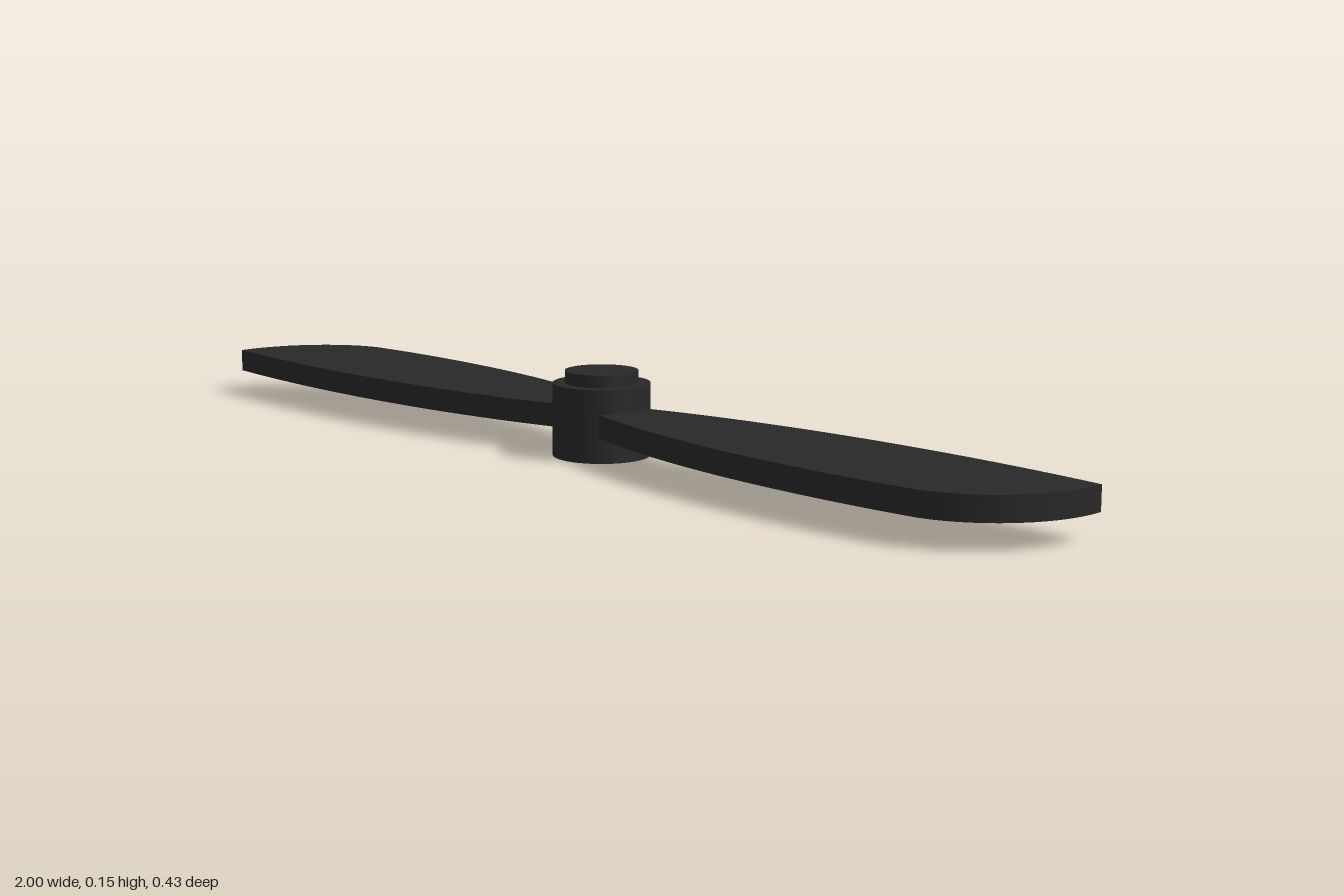
import * as THREE from 'three';

const material = new THREE.MeshStandardMaterial({ color: 0x282828 });

// One blade: a curved plan outline (x, z) extruded to a flat plate
function createBlade(name) {
  const outline = new THREE.Shape();
  outline.moveTo(0.05, -0.03);
  outline.bezierCurveTo(0.3, -0.08, 0.65, -0.075, 1, 0); // straighter edge
  outline.bezierCurveTo(1, 0.13, 0.9, 0.215, 0.81, 0.215); // rounded tip
  outline.bezierCurveTo(0.58, 0.213, 0.28, 0.17, 0.05, 0.065); // bulging edge
  outline.closePath();
  const geometry = new THREE.ExtrudeGeometry(outline, {
    depth: 0.042, bevelEnabled: false, curveSegments: 24,
  });
  geometry.rotateX(Math.PI / 2).translate(0, 0.087, 0);
  const blade = new THREE.Mesh(geometry, material);
  blade.name = name;
  return blade;
}

// Upright cylinder standing between two heights
function createDisc(name, radius, bottom, top) {
  const geometry = new THREE.CylinderGeometry(radius, radius, top - bottom, 48);
  geometry.translate(0, (top + bottom) / 2, 0);
  const disc = new THREE.Mesh(geometry, material);
  disc.name = name;
  return disc;
}

export function createModel() {
  const propeller = new THREE.Group();
  propeller.name = 'propeller';

  // Hub with a narrower raised cap
  propeller.add(createDisc('hub', 0.087, 0, 0.13));
  propeller.add(createDisc('hubCap', 0.065, 0.13, 0.152));

  // Two blades, half a turn apart
  ['leftBlade', 'rightBlade'].forEach((name, i) => {
    const blade = createBlade(name);
    blade.rotation.y = i * Math.PI;
    propeller.add(blade);
  });

  return propeller;
}
